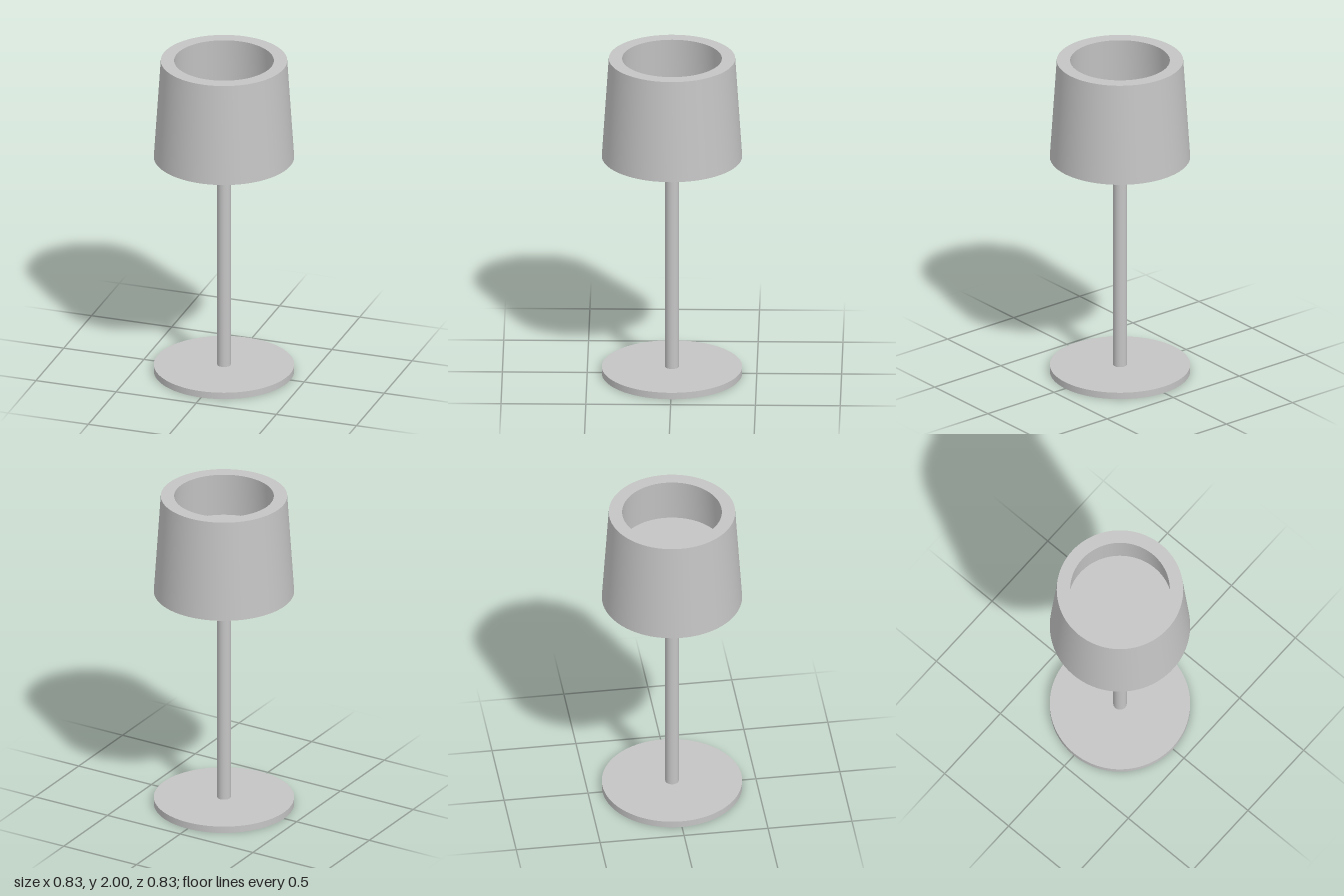
import * as THREE from 'three';
import { toCreasedNormals } from 'three/addons/utils/BufferGeometryUtils.js';

const SEGMENTS = 96;

export function createModel() {
  const lamp = new THREE.Group();
  lamp.name = 'tableLamp';

  const grey = new THREE.MeshStandardMaterial({ color: 0xc4c4c4 });
  grey.name = 'plain grey';

  const addPart = (name, geometry, y = 0) => {
    const mesh = new THREE.Mesh(geometry, grey);
    mesh.name = name;
    mesh.position.y = y;
    lamp.add(mesh);
  };

  // Upright cylinder between two heights
  const addCylinder = (name, topRadius, bottomRadius, from, to) =>
    addPart(
      name,
      new THREE.CylinderGeometry(topRadius, bottomRadius, to - from, SEGMENTS),
      (from + to) / 2
    );

  // Flat round foot and slim stem
  addCylinder('base', 0.414, 0.414, 0, 0.041);
  addCylinder('stem', 0.04, 0.04, 0.041, 1.65);

  // Thick-walled tapered shade, open at both ends
  const wall = [
    [0.333, 1.38], [0.414, 1.38], [0.373, 2], [0.294, 2], [0.333, 1.38],
  ].map(([r, y]) => new THREE.Vector2(r, y));
  addPart('shade', toCreasedNormals(new THREE.LatheGeometry(wall, SEGMENTS), 0.6));

  // Plate across the middle of the shade, carried by the stem
  addCylinder('shadePlate', 0.312, 0.317, 1.65, 1.732);

  return lamp;
}
